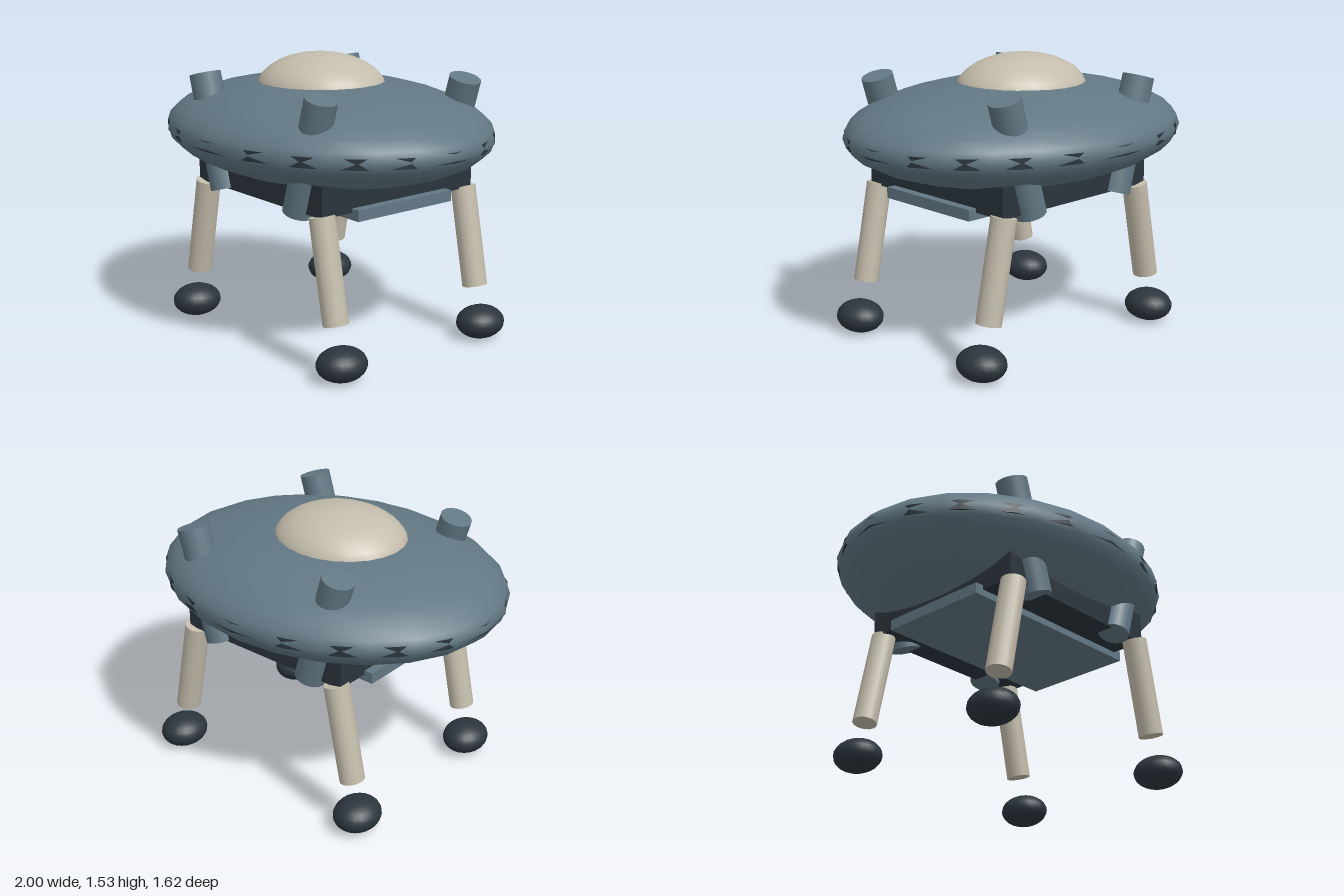
import * as THREE from 'three';

export function createModel() {
  const model = new THREE.Group();
  model.name = 'saucerLander';

  const material = (name, color) => {
    const m = new THREE.MeshStandardMaterial({ color });
    m.name = name;
    return m;
  };
  const steel = material('steelBlue', 0x627884);
  const cream = material('cream', 0xc4bdac);
  const dark = material('charcoal', 0x2b353d);

  const add = (name, geometry, mat, x, y, z) => {
    const mesh = new THREE.Mesh(geometry, mat);
    mesh.name = name;
    mesh.position.set(x, y, z);
    model.add(mesh);
    return mesh;
  };
  const ellipsoid = (rx, ry, rz, w = 24, h = 16) =>
    new THREE.SphereGeometry(1, w, h).scale(rx, ry, rz);

  // Saucer body with a dark belt just breaking its rim
  add('hull', ellipsoid(1, 0.27, 0.81), steel, 0, 1.131, 0);
  add('rimBelt', new THREE.CylinderGeometry(0.993, 0.993, 0.055, 20).scale(1, 1, 0.81), dark, 0, 1.128, 0);
  add('dome', ellipsoid(0.38, 0.2, 0.34), cream, -0.05, 1.33, 0);

  // Belly housing and the plate under it
  const cx = 0.055;
  add('bellyBox', new THREE.BoxGeometry(1.07, 0.165, 1.04), dark, cx, 0.9025, 0);
  add('bellyPlate', new THREE.BoxGeometry(1.17, 0.06, 0.648), steel, cx, 0.813, 0);

  // Four corners: a thruster tube through the hull, a splayed leg and a foot
  for (const sx of [-1, 1]) {
    for (const sz of [-1, 1]) {
      const corner = (sx > 0 ? 'left' : 'right') + (sz > 0 ? 'Front' : 'Back');
      const z = sz * 0.494;

      const tube = add(corner + 'Thruster', new THREE.CylinderGeometry(0.086, 0.086, 0.636, 20),
        steel, cx + sx * 0.409, 1.111, z);
      tube.rotation.z = -sx * 0.29;

      const leg = add(corner + 'Leg', new THREE.CylinderGeometry(0.07, 0.07, 0.55, 16).scale(0.93, 1, 1),
        cream, 0.063 + sx * 0.55, 0.555, z);
      leg.rotation.z = sx * 0.2;

      add(corner + 'Foot', ellipsoid(0.123, 0.089, 0.14, 20, 14), dark, 0.069 + sx * 0.647, 0.089, z);
    }
  }
  return model;
}
